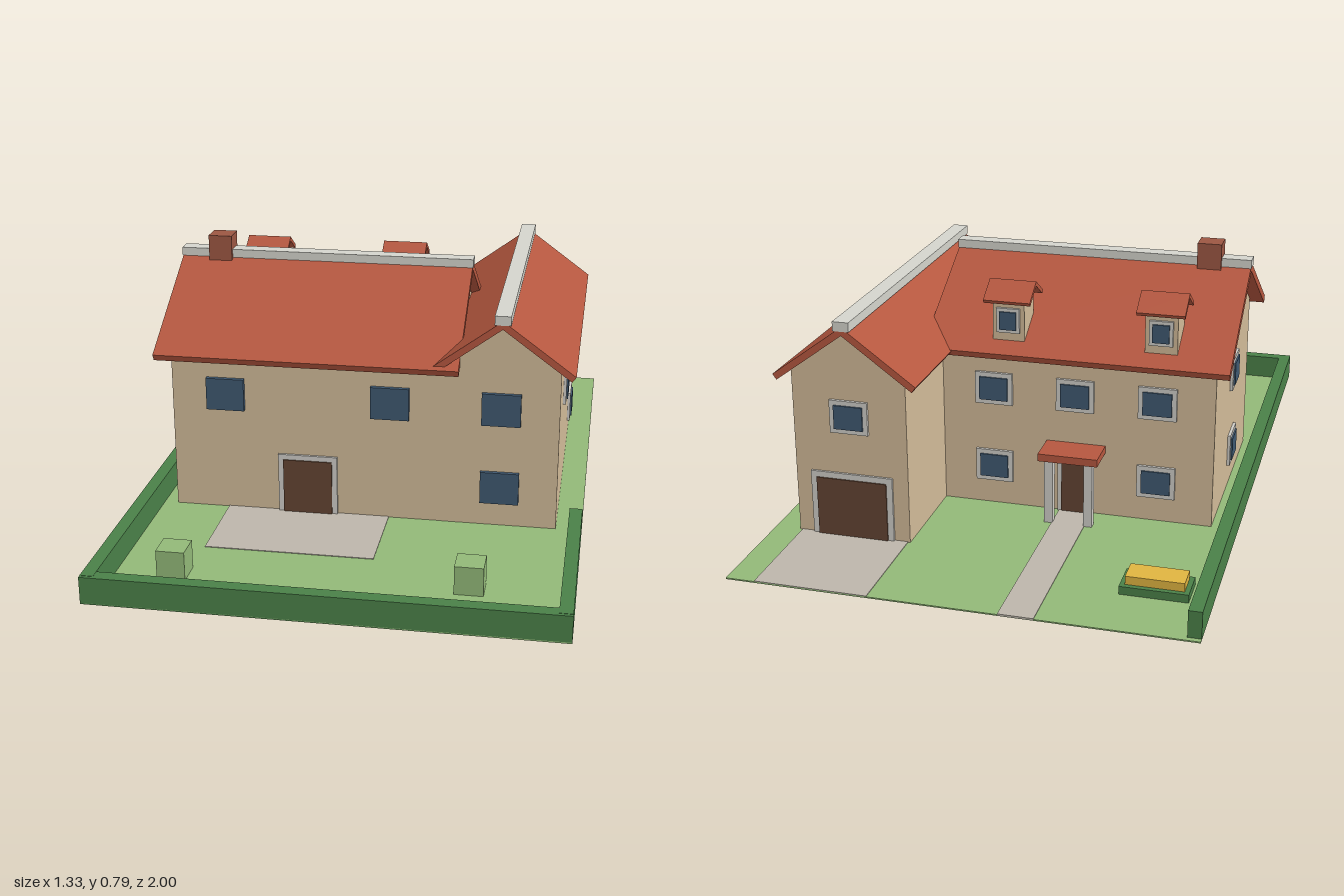
import * as THREE from 'three';

const mat = (color, o = {}) => new THREE.MeshStandardMaterial({ color, ...o });

export function createModel() {
  const model = new THREE.Group();
  const M = {
    wall: mat(0xd1ba98), roof: mat(0xb5573f), ridge: mat(0xd4d4cc), frame: mat(0xcfcdc8),
    glass: mat(0x3f5870), door: mat(0x634432), brick: mat(0x9c5743), grass: mat(0x92b878),
    hedge: mat(0x4a8048), paving: mat(0xbcb5aa), yellow: mat(0xe0b440),
  };

  const add = (name, geo, m, parent = model) => {
    const mesh = new THREE.Mesh(geo, m);
    mesh.name = name;
    parent.add(mesh);
    return mesh;
  };

  // Box given by its extents on each axis
  const box = (name, m, x0, x1, y0, y1, z0, z1, parent) => {
    const mesh = add(name, new THREE.BoxGeometry(x1 - x0, y1 - y0, z1 - z0), m, parent);
    mesh.position.set((x0 + x1) / 2, (y0 + y1) / 2, (z0 + z1) / 2);
    return mesh;
  };

  // Cross-section extruded from a to b, along x or z, centred on c of the other axis
  const prism = (name, m, pts, axis, a, b, c) => {
    const shape = new THREE.Shape(pts.map(([u, y]) => new THREE.Vector2(u, y)));
    const geo = new THREE.ExtrudeGeometry(shape, { depth: b - a, bevelEnabled: false });
    geo.translate(0, 0, a);
    if (axis === 'x') geo.rotateY(Math.PI / 2).translate(0, 0, c);
    else geo.translate(c, 0, 0);
    return add(name, geo, m);
  };

  // Gabled walls with a chevron roof of even thickness, square-cut at the eaves
  const gabled = (name, { axis, c, wall, roof, half, eaveHalf, base, eave, peak, t }) => {
    const slope = (peak - eave) / eaveHalf;
    const len = Math.hypot(1, slope);
    const drop = t * len;
    const [du, dy] = [t * slope / len, t / len];
    prism(name + 'Walls', M.wall, [
      [-half, base], [half, base], [half, peak - drop - slope * half],
      [0, peak - drop], [-half, peak - drop - slope * half],
    ], axis, wall[0], wall[1], c);
    prism(name + 'Roof', M.roof, [
      [0, peak], [-eaveHalf, eave], [-eaveHalf + du, eave - dy],
      [0, peak - drop], [eaveHalf - du, eave - dy], [eaveHalf, eave],
    ], axis, roof[0], roof[1], c);
  };

  // Fitting on a wall: local +z points out of the wall
  const onWall = (name, side, x, y, z) => {
    const g = new THREE.Group();
    g.name = name;
    g.position.set(x, y, z);
    g.rotation.y = { front: 0, right: Math.PI / 2, back: Math.PI, left: -Math.PI / 2 }[side];
    model.add(g);
    return g;
  };
  const framedWindow = (side, x, y, z, w = 0.115, h = 0.1, edge = 0.014) => {
    const g = onWall('window', side, x, y, z);
    box('windowFrame', M.frame, -w / 2, w / 2, -h / 2, h / 2, -0.005, 0.009, g);
    box('windowGlass', M.glass, -w / 2 + edge, w / 2 - edge, -h / 2 + edge, h / 2 - edge, 0, 0.014, g);
  };
  const door = (name, side, x, z, w, h, edge) => {
    const g = onWall(name, side, x, 0.003, z);
    box('doorFrame', M.frame, -w / 2, w / 2, 0, h, -0.005, 0.007, g);
    box('doorLeaf', M.door, -w / 2 + edge, w / 2 - edge, 0, h - edge, 0, 0.011, g);
  };

  // Plot and paving
  box('lawn', M.grass, -0.665, 0.665, 0, 0.004, -1, 1);
  box('patio', M.paving, -0.42, 0.08, 0.001, 0.006, 0.33, 0.62);
  box('gardenPath', M.paving, -0.22, -0.12, 0.001, 0.006, -1, -0.33);
  box('driveway', M.paving, 0.25, 0.58, 0.001, 0.006, -1, -0.66);

  // Hedges
  box('sideHedge', M.hedge, -0.665, -0.627, 0.002, 0.082, -0.985, 0.99);
  box('sideHedge', M.hedge, 0.627, 0.665, 0.002, 0.082, 0.35, 0.99);
  box('frontHedge', M.hedge, -0.665, 0.665, 0.001, 0.081, 0.96, 1);

  // Bushes
  for (const [x, z] of [[-0.46, 0.79], [0.373, 0.75]])
    box('bush', M.grass, x - 0.041, x + 0.041, 0.004, 0.089, z - 0.041, z + 0.041);

  // Flower bed
  box('flowerBed', M.hedge, -0.6, -0.407, 0.003, 0.028, -0.81, -0.705);
  box('flowers', M.yellow, -0.586, -0.421, 0.02, 0.053, -0.795, -0.718);

  // Main house and the wing across its end
  gabled('mainHouse', {
    axis: 'x', c: -0.003, wall: [-0.585, 0.26], roof: [-0.628, 0.29],
    half: 0.337, eaveHalf: 0.385, base: 0.002, eave: 0.505, peak: 0.727, t: 0.023,
  });
  gabled('wing', {
    axis: 'z', c: 0.415, wall: [-0.668, 0.335], roof: [-0.7, 0.368],
    half: 0.172, eaveHalf: 0.215, base: 0.002, eave: 0.502, peak: 0.66, t: 0.02,
  });
  box('mainRidge', M.ridge, -0.63, 0.292, 0.715, 0.741, -0.027, 0.021);
  box('wingRidge', M.ridge, 0.391, 0.439, 0.648, 0.676, -0.702, 0.37);
  box('chimney', M.brick, -0.54, -0.467, 0.64, 0.786, -0.038, 0.032);

  // Dormers
  for (const x of [-0.42, 0.037]) {
    gabled('dormer', {
      axis: 'x', c: -0.288, wall: [x - 0.048, x + 0.048], roof: [x - 0.071, x + 0.071],
      half: 0.05, eaveHalf: 0.073, base: 0.48, eave: 0.66, peak: 0.706, t: 0.012,
    });
    framedWindow('back', x, 0.597, -0.338, 0.07, 0.075, 0.01);
  }

  // Front windows, plain panes
  for (const [x, y] of [[-0.419, 0.378], [0.083, 0.378], [0.415, 0.378], [0.415, 0.128]])
    box('frontWindow', M.glass, x - 0.058, x + 0.058, y - 0.05, y + 0.05, 0.33, 0.348);

  // Framed windows on the other walls
  for (const x of [-0.415, -0.167, 0.083]) framedWindow('back', x, 0.38, -0.34);
  for (const x of [-0.415, 0.083]) framedWindow('back', x, 0.13, -0.34);
  framedWindow('back', 0.415, 0.38, -0.668);
  for (const [y, z] of [[0.38, 0.083], [0.38, -0.415], [0.13, -0.415]])
    framedWindow('right', 0.587, y, z);
  for (const y of [0.38, 0.13]) framedWindow('left', -0.585, y, 0);

  // Doors
  door('patioDoor', 'front', -0.169, 0.335, 0.182, 0.189, 0.016);
  door('entranceDoor', 'back', -0.167, -0.34, 0.105, 0.19, 0.013);
  door('garageDoor', 'back', 0.415, -0.668, 0.25, 0.2, 0.018);

  // Porch
  box('porchRoof', M.roof, -0.26, -0.08, 0.205, 0.228, -0.448, -0.335);
  for (const x of [-0.23, -0.11])
    box('porchPost', M.frame, x - 0.013, x + 0.013, 0.003, 0.207, -0.437, -0.411);

  return model;
}
